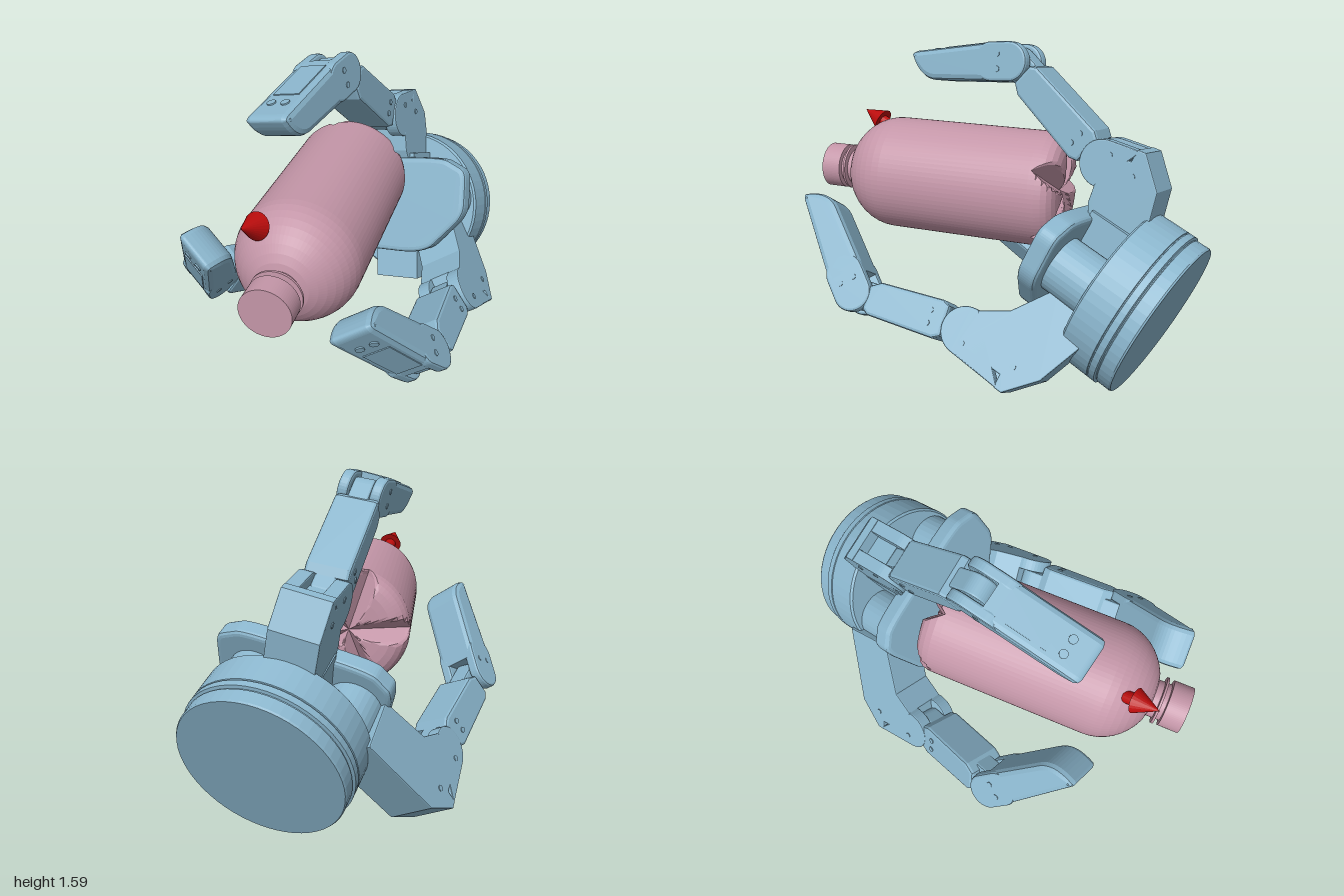
import * as THREE from 'three';

const V = (a) => new THREE.Vector3(...a);
const paint = (color) => new THREE.MeshStandardMaterial({ color, flatShading: true });
const blue = paint(0x8ab5cc), pink = paint(0xc496a8), red = paint(0xbb0c0c);

function add(parent, name, geometry, material = blue, pos = [0, 0, 0]) {
  const m = new THREE.Mesh(geometry, material);
  m.name = name;
  m.position.set(...pos);
  parent.add(m);
  return m;
}

// Group whose z runs along a direction and whose x follows a hinge axis
function frame(name, origin, along, side) {
  const g = new THREE.Group();
  g.name = name;
  const z = along.clone().normalize();
  const x = side.clone().addScaledVector(z, -side.dot(z)).normalize();
  const y = z.clone().cross(x);
  g.quaternion.setFromRotationMatrix(new THREE.Matrix4().makeBasis(x, y, z));
  g.position.copy(origin);
  return g;
}

// Side profile (u along z, v along y) extruded across x
function slab(shape, width, bevel = 0.015) {
  const depth = width - 2 * bevel;
  const geo = new THREE.ExtrudeGeometry(shape, {
    depth, bevelThickness: bevel, bevelSize: bevel, bevelOffset: -bevel, bevelSegments: 2, curveSegments: 10,
  });
  return geo.translate(0, 0, -depth / 2).rotateY(-Math.PI / 2);
}

function polygon(points) {
  return new THREE.Shape(points.map((p) => new THREE.Vector2(...p)));
}

// Polygon with each corner replaced by a curve
function roundedPolygon(points, k) {
  const s = new THREE.Shape();
  const pts = points.map((p) => new THREE.Vector2(...p));
  pts.forEach((p, i) => {
    const a = p.clone().lerp(pts[(i + pts.length - 1) % pts.length], k);
    const b = p.clone().lerp(pts[(i + 1) % pts.length], k);
    if (i === 0) s.moveTo(a.x, a.y); else s.lineTo(a.x, a.y);
    s.quadraticCurveTo(p.x, p.y, b.x, b.y);
  });
  s.closePath();
  return s;
}

function lathe(points, segments) {
  return new THREE.LatheGeometry(points.map((p) => new THREE.Vector2(...p)), segments).rotateX(Math.PI / 2);
}

// Bar with round ends between two pivots
function capsule(from, to, r) {
  const s = new THREE.Shape();
  s.absarc(to, 0, r, -Math.PI / 2, Math.PI / 2);
  s.absarc(from, 0, r, Math.PI / 2, Math.PI * 1.5);
  return s;
}

function sideScrews(group, x, spots) {
  for (const side of [-1, 1]) for (const [y, z] of spots) {
    add(group, 'sideScrew', new THREE.CylinderGeometry(0.014, 0.014, 0.008, 12).rotateZ(Math.PI / 2), blue, [side * x, y, z]);
  }
}

function makeFinger(name, { root, corner, j1, j2, tip, side }) {
  const finger = new THREE.Group();
  finger.name = name;
  const [R, C, A, B, T] = [root, corner, j1, j2, tip].map(V);
  const hinge = V(side);

  // Elbow-shaped knuckle, with two cheeks forming a fork at the joint
  const knuckle = frame('knuckle', C, A.clone().sub(C), hinge);
  const L = A.distanceTo(C), h = 0.12;
  const r = R.clone().sub(C).applyQuaternion(knuckle.quaternion.clone().invert());
  add(knuckle, 'knuckleBody', slab(polygon([
    [r.z + 0.15, r.y], [0.17, -0.19], [L - 0.04, -0.11], [L - 0.04, 0.06], [0.05, 0.06], [0.04, h],
    [0, h], [-h + 0.01, -0.02], [r.z - h, r.y],
  ]), 0.23, 0.006));
  for (const sx of [-1, 1]) {
    const cheek = new THREE.Shape();
    cheek.moveTo(0.02, -0.06);
    cheek.absarc(L - 0.04, 0, 0.11, -Math.PI / 2, Math.PI / 2);
    cheek.lineTo(0.02, h - 0.002);
    cheek.closePath();
    add(knuckle, 'knuckleCheek', slab(cheek, 0.065, 0.006)).position.x = sx * 0.0825;
  }
  sideScrews(knuckle, 0.115, [[0.05, L - 0.06], [0, 0.02]]);
  finger.add(knuckle);

  // Middle link with a narrow tongue at each joint
  const link = frame('middleLink', A, B.clone().sub(A), hinge);
  const M = A.distanceTo(B);
  add(link, 'jointTongue', slab(capsule(0, M, 0.07), 0.1, 0.01));
  add(link, 'linkBody', slab(polygon([
    [0.06, -0.07], [0.1, -0.09], [M - 0.13, -0.08], [M - 0.08, -0.05],
    [M - 0.08, 0.06], [M - 0.11, 0.082], [0.1, 0.09], [0.06, 0.07],
  ]), 0.205));
  sideScrews(link, 0.103, [[0.03, 0.14], [-0.03, 0.14]]);
  finger.add(link);

  // Fingertip: forked joint cheeks and tapered body
  const end = frame('fingertip', B, T.clone().sub(B), hinge);
  for (const sx of [-1, 1]) {
    add(end, 'jointCheek', slab(capsule(0, 0.1, 0.092), 0.055, 0.012)).position.x = sx * 0.08;
  }
  const f = new THREE.Shape();
  f.moveTo(0.07, -0.092);
  f.lineTo(0.42, -0.09);
  f.quadraticCurveTo(0.51, -0.085, 0.555, 0.02);
  f.quadraticCurveTo(0.57, 0.045, 0.53, 0.052);
  f.lineTo(0.07, 0.092);
  f.closePath();
  add(end, 'tipBody', slab(f, 0.215, 0.028));
  const slope = Math.atan2(0.04, 0.46);
  const panel = add(end, 'backPanel', new THREE.BoxGeometry(0.13, 0.012, 0.25), blue, [0, 0.075, 0.25]);
  panel.rotation.x = slope;
  for (const x of [-0.035, 0.035]) {
    const screw = add(end, 'tipScrew', new THREE.CylinderGeometry(0.02, 0.02, 0.016, 14), blue, [x, 0.058, 0.44]);
    screw.rotation.x = slope;
  }
  sideScrews(end, 0.107, [[0.035, 0.06], [-0.035, 0.06]]);
  finger.add(end);
  return finger;
}

function makePalm() {
  const palm = frame('palm', V([0.19, 0.525, -0.577]), V([-0.25, 0.375, 0.89]), V([0.95, 0.22, 0.2]));
  // Round wrist flange with two shallow grooves
  add(palm, 'wristFlange', lathe([
    [0, -0.28], [0.385, -0.28], [0.39, -0.272], [0.39, -0.21], [0.386, -0.207], [0.386, -0.203], [0.4, -0.199],
    [0.4, -0.168], [0.395, -0.166], [0.395, -0.162], [0.4, -0.16], [0.4, -0.01], [0.39, 0], [0, 0],
  ], 56));
  // Swivel posts and centre block between flange and pad
  for (const x of [-0.24, 0.24]) {
    add(palm, 'swivelPost', new THREE.CylinderGeometry(0.135, 0.135, 0.26, 32).rotateX(Math.PI / 2), blue, [x, 0.04, 0.11]);
  }
  add(palm, 'centreBlock', new THREE.BoxGeometry(0.26, 0.46, 0.24), blue, [0, 0.06, 0.1]);
  add(palm, 'lowerBlock', new THREE.BoxGeometry(0.24, 0.26, 0.22), blue, [0.03, -0.26, 0.1]);
  // Palm pad
  const pad = roundedPolygon([
    [-0.41, 0.17], [-0.37, -0.22], [0.22, -0.24], [0.44, -0.03], [0.45, 0.2], [0.32, 0.27], [-0.3, 0.26],
  ], 0.25);
  add(palm, 'palmPad', new THREE.ExtrudeGeometry(pad, {
    depth: 0.06, bevelThickness: 0.02, bevelSize: 0.025, bevelOffset: -0.025, bevelSegments: 3, curveSegments: 8,
  }), blue, [0, 0, 0.215]);
  return palm;
}

function makeBottle() {
  const bottle = new THREE.Group();
  bottle.name = 'bottle';
  bottle.position.set(-0.045, 0.875, 0);
  const profile = [
    [0, -0.28], [0.04, -0.285], [0.08, -0.29], [0.12, -0.29], [0.16, -0.29], [0.2, -0.288], [0.235, -0.278],
    [0.26, -0.26], [0.275, -0.235], [0.283, -0.205], [0.283, -0.17], [0.283, 0.59],
  ];
  for (let i = 1; i <= 8; i++) {
    const a = (i / 8) * 1.13;
    profile.push([0.283 * Math.cos(a), 0.59 + 0.262 * Math.sin(a)]);
  }
  profile.push([0.09, 0.835], [0.09, 0.865], [0.115, 0.867], [0.115, 0.878], [0.09, 0.88], [0.09, 0.9],
    [0.113, 0.902], [0.113, 1], [0, 1]);
  const geo = lathe(profile, 80);
  // Five V-shaped grooves cut into the base
  const p = geo.attributes.position;
  const step = (Math.PI * 2) / 5;
  for (let i = 0; i < p.count; i++) {
    const x = p.getX(i), y = p.getY(i);
    const a = Math.atan2(y, x) - step / 2;
    const off = Math.abs(a - Math.round(a / step) * step);
    const rad = Math.hypot(x, y);
    const k = Math.max(0, 1 - (rad * off) / (0.025 + 0.18 * rad));
    p.setZ(i, Math.max(p.getZ(i), -0.29 + 0.11 * k * Math.min(1, 0.35 + rad / 0.4)));
  }
  geo.computeVertexNormals();
  add(bottle, 'bottleBody', geo, pink);
  return bottle;
}

function makeMarker() {
  // Small cone marker with a short stem
  const g = frame('marker', V([-0.165, 1.105, 0.752]), V([-0.02, 0.048, 0.108]), V([1, 0, 0]));
  add(g, 'markerCone', new THREE.ConeGeometry(0.06, 0.12, 24).rotateX(Math.PI / 2), red, [0, 0, 0.06]);
  add(g, 'markerStem', new THREE.CylinderGeometry(0.03, 0.03, 0.06, 20).rotateX(Math.PI / 2), red, [0, 0, -0.025]);
  return g;
}

export function createModel() {
  const model = new THREE.Group();
  model.name = 'gripperHoldingBottle';
  model.add(makePalm(), makeBottle(), makeMarker());
  model.add(makeFinger('upperFinger', {
    root: [0.14, 0.75, -0.62], corner: [0.085, 1.035, -0.68], j1: [0.04, 1.085, -0.48],
    j2: [-0.09, 1.475, -0.03], tip: [-0.19, 1.425, 0.5], side: [0.95, 0.22, 0.2],
  }));
  model.add(makeFinger('leftFinger', {
    root: [0.39, 0.49, -0.52], corner: [0.58, 0.24, -0.265], j1: [0.525, 0.37, 0.03],
    j2: [0.5, 0.435, 0.57], tip: [0.27, 0.8, 0.89], side: [-0.81, -0.58, 0.04],
  }));
  model.add(makeFinger('rightFinger', {
    root: [0, 0.44, -0.54], corner: [-0.395, 0.145, -0.455], j1: [-0.45, 0.265, -0.18],
    j2: [-0.635, 0.47, 0.29], tip: [-0.49, 0.86, 0.63], side: [-0.8, 0.45, -0.4],
  }));
  return model;
}
